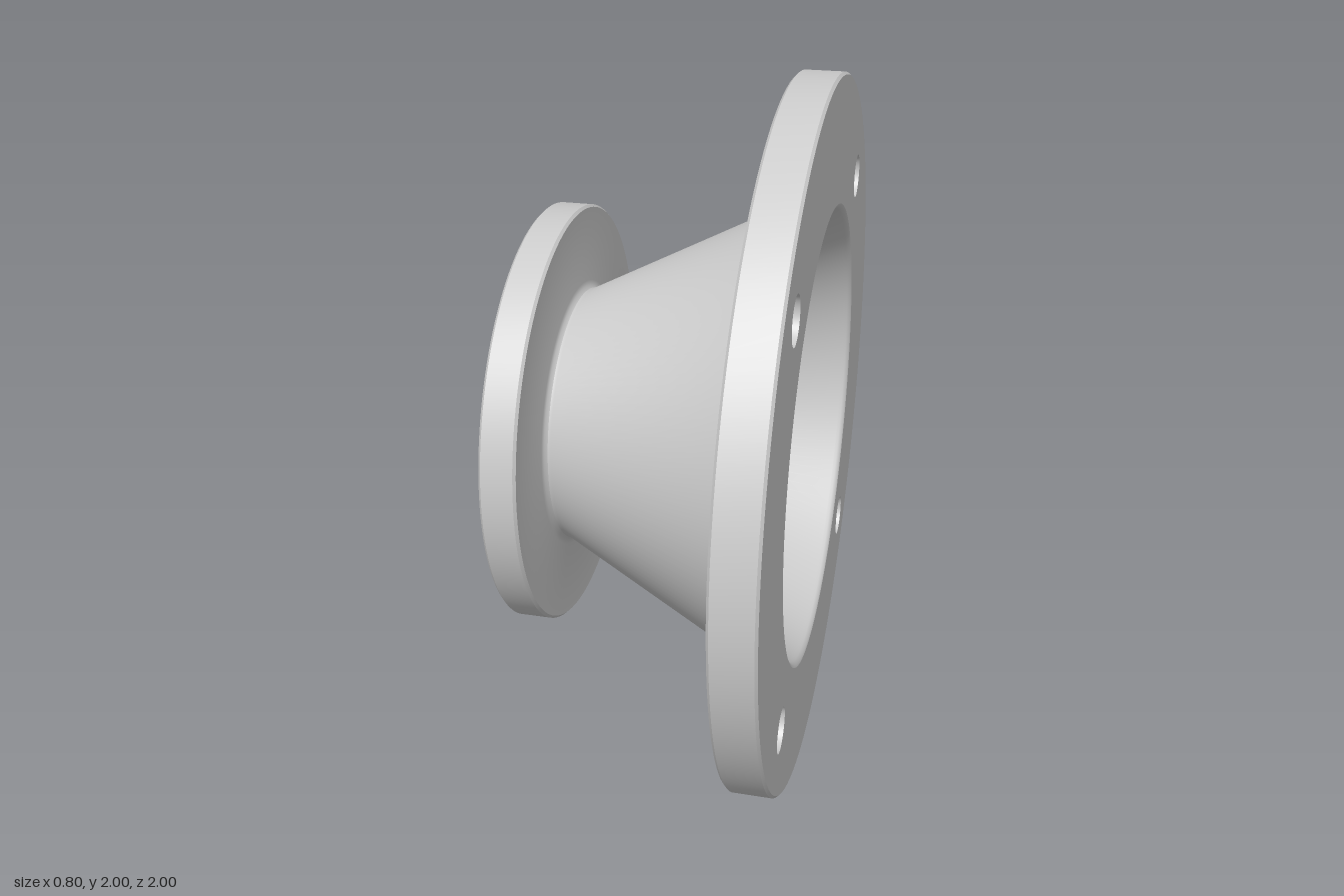
import * as THREE from 'three';
import { toCreasedNormals } from 'three/addons/utils/BufferGeometryUtils.js';

const material = new THREE.MeshStandardMaterial({ color: 0xcccccc });

// Smooth round walls, sharp edges (scaled up so small details stay distinct)
function crease(geometry) {
  geometry.scale(100, 100, 100);
  return toCreasedNormals(geometry, 0.6).scale(0.01, 0.01, 0.01);
}

// Revolve [radius, x] points about the x axis
function turned(name, profile) {
  const points = profile.map(([r, x]) => new THREE.Vector2(r, x));
  const geometry = new THREE.LatheGeometry(points, 128).rotateZ(-Math.PI / 2);
  return part(name, geometry);
}

// Extrude a shape along x between two positions
function plate(name, shape, x0, x1) {
  const geometry = new THREE.ExtrudeGeometry(shape, {
    depth: x1 - x0, bevelEnabled: false, curveSegments: 64,
  });
  geometry.rotateY(Math.PI / 2).translate(x0, 0, 0);
  return part(name, geometry);
}

function part(name, geometry) {
  const mesh = new THREE.Mesh(crease(geometry), material);
  mesh.name = name;
  mesh.position.y = 1;
  return mesh;
}

function circle(radius, x = 0, y = 0, Type = THREE.Path) {
  return new Type().absarc(x, y, radius, 0, Math.PI * 2, false);
}

export function createModel() {
  const model = new THREE.Group();
  model.name = 'flangedCoupling';

  // Small solid flange, conical shell and hollow interior in one profile
  model.add(turned('conicalBody', [
    [0, -0.4], [0.593, -0.4], [0.6, -0.393], [0.6, -0.307], [0.593, -0.3],
    [0.385, -0.3], [0.372, -0.297], [0.364, -0.289], [0.365, -0.28],
    [0.645, 0.268], [0.65, 0.275], [0.66, 0.28],
    [0.65, 0.4], [0.643, 0.397], [0.637, 0.388], [0.635, 0.38],
    [0.283, -0.32], [0, -0.32],
  ]));

  // Large flange with four bolt holes
  const ring = circle(0.993, 0, 0, THREE.Shape);
  ring.holes.push(circle(0.65));
  for (const sx of [-1, 1]) {
    for (const sy of [-1, 1]) ring.holes.push(circle(0.063, sx * 0.584, sy * 0.584));
  }
  model.add(plate('largeFlange', ring, 0.28, 0.4));

  // Softened rim of the large flange
  model.add(turned('largeFlangeRim', [
    [0.993, 0.28], [1, 0.287], [1, 0.393], [0.993, 0.4],
  ]));

  // Central hub with a keyed bore
  const hub = circle(0.22, 0, 0, THREE.Shape);
  const a = Math.acos(0.04 / 0.12);
  const bore = new THREE.Path();
  bore.absarc(0, 0, 0.12, Math.PI - a, Math.PI * 2 + a, false);
  bore.lineTo(0.04, 0.155);
  bore.lineTo(-0.04, 0.155);
  bore.closePath();
  hub.holes.push(bore);
  model.add(plate('keyedHub', hub, -0.33, 0.2));

  return model;
}
